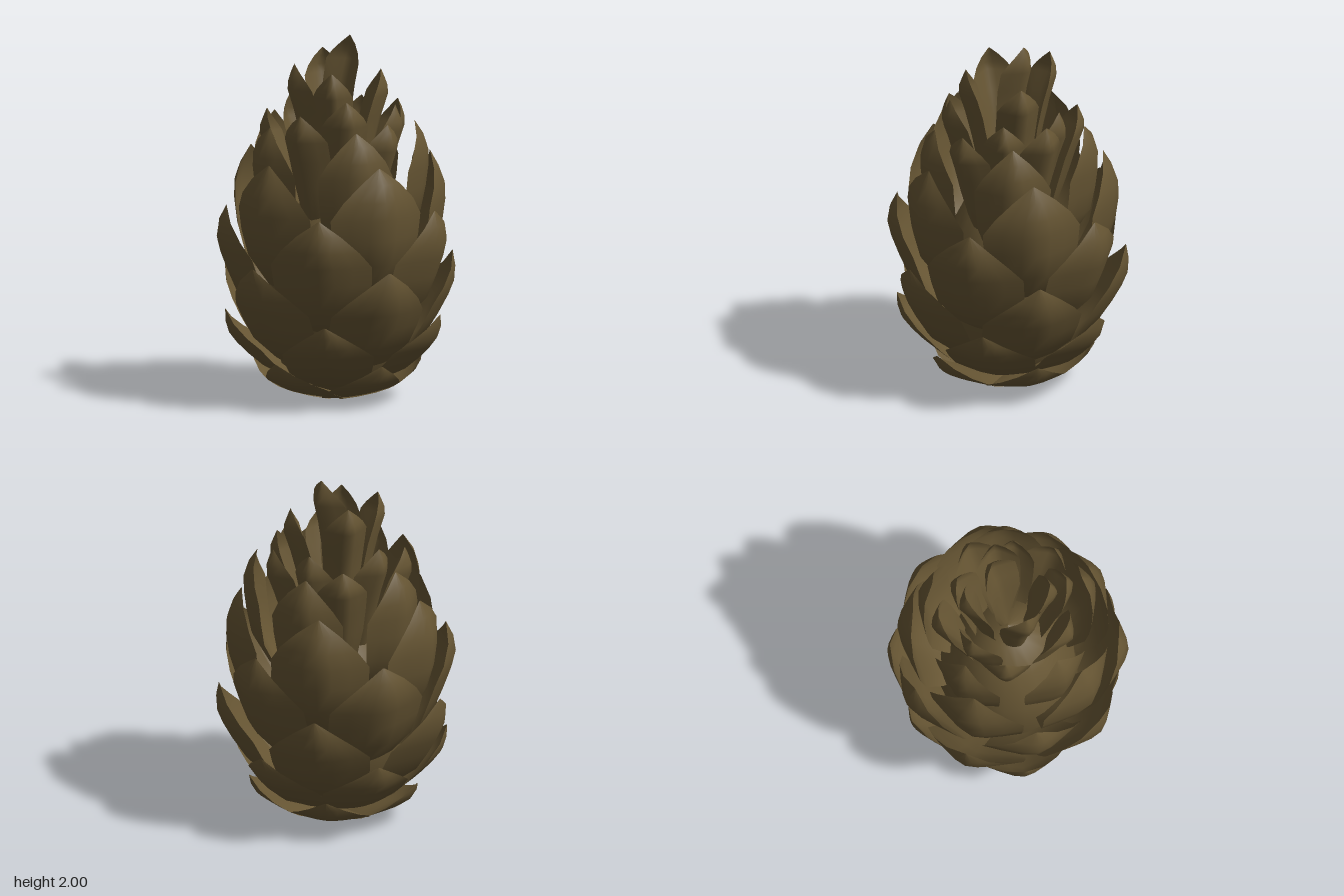
import * as THREE from 'three';

const brown = new THREE.MeshStandardMaterial({ color: 0x665533 });
brown.name = 'cone brown';

const THICK = 0.04;
// half-width along a scale: below the shoulder, and from shoulder to tip
const LOWER = [[0, 0.3], [0.3, 0.64], [0.6, 0.89], [0.82, 0.97], [1, 1]];
const TIP = [[0.33, 0.78], [0.67, 0.44], [1, 0.02]];
const SIDES = [-1, -0.65, -0.3, 0, 0.3, 0.65, 1];

// how far a scale's side falls back towards the axis: rounded middle, straight flanks
const fallBack = (x) => (Math.sqrt(x * x + 0.06) - 0.245) / 0.785;

// One cupped, sharp-edged scale; profile holds [radius, y] points from root to tip
function makeScale({ profile, half, cup, shoulder, degrees, name }) {
  const curve = new THREE.CatmullRomCurve3(profile.map(([r, y]) => new THREE.Vector3(r, y, 0)));
  const a = THREE.MathUtils.degToRad(degrees);
  const sin = Math.sin(a), cos = Math.cos(a);
  const widths = [
    ...LOWER.map(([t, w]) => [t * shoulder, w]),
    ...TIP.map(([t, w]) => [shoulder + t * (1 - shoulder), w]),
  ];
  const positions = [], index = [];
  const addFace = (thickness, flip) => {
    const start = positions.length / 3, n = SIDES.length;
    widths.forEach(([t, w], i) => {
      const p = curve.getPointAt(t), tan = curve.getTangentAt(t);
      SIDES.forEach((s, j) => {
        const depth = thickness * (1 - s * s) * (1 - t ** 4);
        const r = p.x - tan.y * depth - cup * fallBack(s * w);
        const y = p.y + tan.x * depth, u = s * w * half;
        positions.push(r * sin + u * cos, Math.max(0, y), r * cos - u * sin);
        if (i === widths.length - 1 || j === n - 1) return;
        const q = start + i * n + j;
        if (flip) index.push(q, q + n + 1, q + 1, q, q + n, q + n + 1);
        else index.push(q, q + 1, q + n + 1, q, q + n + 1, q + n);
      });
    });
  };
  addFace(0, false);
  addFace(THICK, true);

  const geometry = new THREE.BufferGeometry();
  geometry.setAttribute('position', new THREE.Float32BufferAttribute(positions, 3));
  geometry.setIndex(index);
  geometry.computeVertexNormals();
  const mesh = new THREE.Mesh(geometry, brown);
  mesh.name = name;
  return mesh;
}

// Rings of five broad scales, from the bottom up
const EVEN = [0, 72, 144, 216, 288], ODD = [36, 108, 180, 252, 324];
const RINGS = [
  { angles: [4, 76, 148, 220, 290], half: 0.22, cup: 0.09, profile: [[0.02, 0], [0.2, 0.04], [0.36, 0.09], [0.46, 0.165], [0.485, 0.25]] },
  { angles: [43, 112, 177, 246, 327], half: 0.25, cup: 0.12, profile: [[0.14, 0.08], [0.36, 0.16], [0.5, 0.27], [0.595, 0.39], [0.605, 0.5]] },
  { angles: EVEN, half: 0.28, cup: 0.13, profile: [[0.2, 0.16], [0.45, 0.3], [0.57, 0.46], [0.66, 0.66], [0.645, 0.8]] },
  { angles: ODD, half: 0.28, cup: 0.13, profile: [[0.24, 0.36], [0.49, 0.52], [0.6, 0.73], [0.66, 0.95], [0.605, 1.09]] },
  { angles: EVEN, half: 0.275, cup: 0.13, profile: [[0.24, 0.56], [0.48, 0.71], [0.58, 0.93], [0.6, 1.19], [0.52, 1.36]] },
  { angles: ODD.map((d) => d - 48), half: 0.21, cup: 0.1, profile: [[0.22, 0.78], [0.42, 0.95], [0.49, 1.18], [0.5, 1.42], [0.43, 1.545]] },
];

// Slim scales of the crown: [degrees, tip radius, tip height, half-width]
const CROWN = [
  [18, 0.4, 1.57, 0.14], [90, 0.38, 1.63, 0.13], [160, 0.39, 1.585, 0.14],
  [-60, 0.36, 1.62, 0.14], [-125, 0.38, 1.6, 0.14],
  [-17, 0.33, 1.7, 0.13], [52, 0.33, 1.64, 0.12], [125, 0.3, 1.63, 0.12], [-160, 0.33, 1.66, 0.13],
  [73, 0.25, 1.82, 0.12], [-33, 0.23, 1.84, 0.11], [-98, 0.24, 1.87, 0.12],
  [170, 0.25, 1.9, 0.12], [108, 0.11, 2.0, 0.125],
];

export function createModel() {
  const cone = new THREE.Group();
  cone.name = 'pineCone';

  // woody core hidden behind the scales
  const corePoints = [[0, 0.03], [0.15, 0.08], [0.3, 0.2], [0.38, 0.5], [0.36, 0.8], [0.25, 1.02], [0.12, 1.16], [0, 1.2]];
  const core = new THREE.Mesh(
    new THREE.LatheGeometry(corePoints.map(([r, y]) => new THREE.Vector2(r, y)), 20), brown);
  core.name = 'core';
  cone.add(core);

  RINGS.forEach(({ angles, ...shape }, i) => {
    const ring = new THREE.Group();
    ring.name = `scaleRing${i + 1}`;
    for (const degrees of angles) {
      ring.add(makeScale({ ...shape, shoulder: 0.7, degrees, name: 'scale' }));
    }
    cone.add(ring);
  });

  const crown = new THREE.Group();
  crown.name = 'crown';
  for (const [degrees, r, y, half] of CROWN) {
    const profile = [
      [r * 0.4, y - 0.78], [r * 0.75, y - 0.54], [r * 0.92, y - 0.32], [r + 0.04, y - 0.12], [r, y],
    ];
    crown.add(makeScale({ profile, half, cup: 0.1, shoulder: 0.82, degrees, name: 'crownScale' }));
  }
  cone.add(crown);
  return cone;
}
